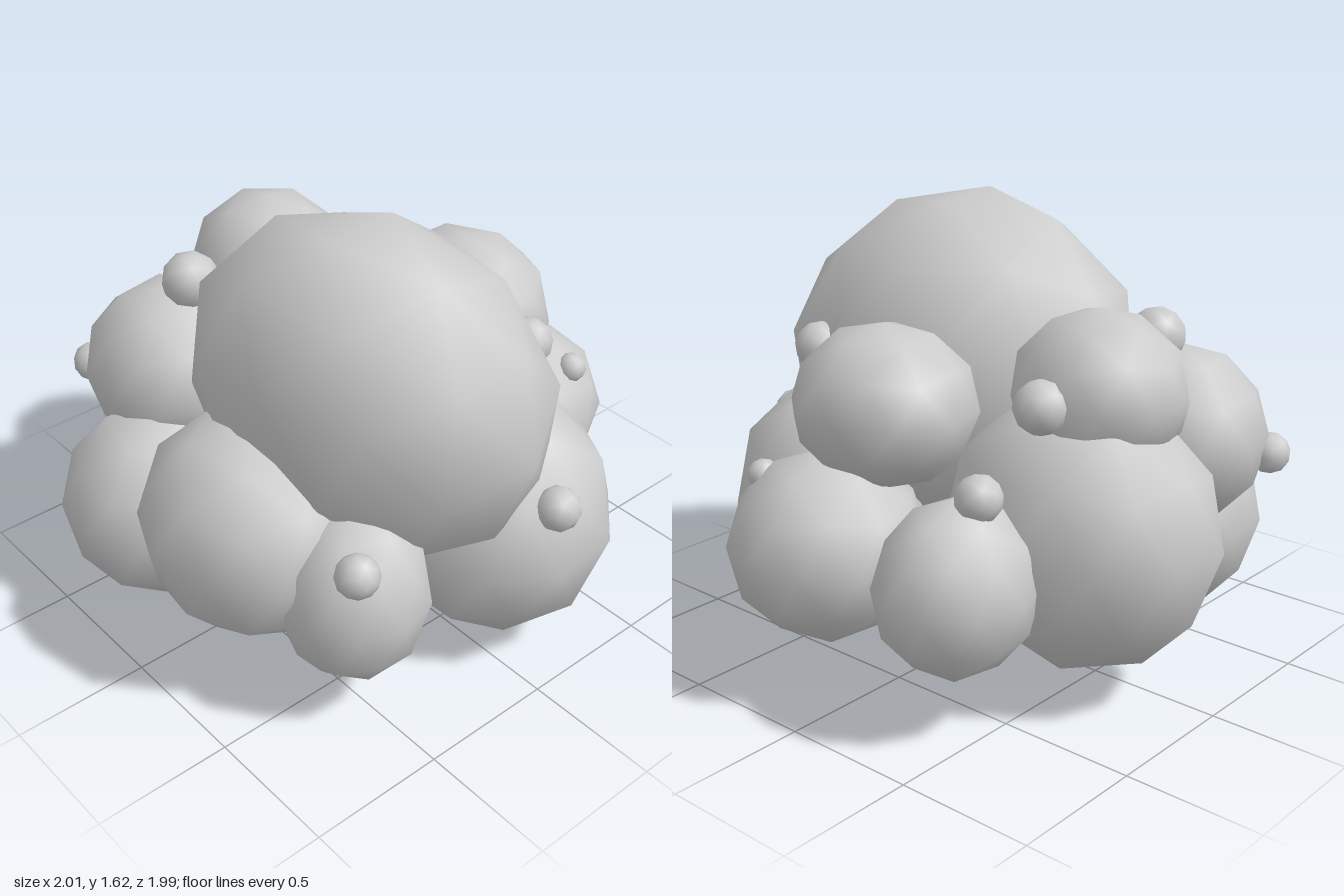
import * as THREE from 'three';

const material = new THREE.MeshStandardMaterial({ color: 0xcccccc });

// Leaf clumps: name, centre, radii, yaw of the facets, lean of the whole clump
const clumps = [
  ['crownClump', [-0.155, 1.0, 0.27], [0.54, 0.65, 0.7], 0.3, [0, 0.15, 0.3]],
  ['frontClump', [0.17, 0.485, 0.565], [0.43, 0.465, 0.45], 0.1],
  ['leftClump', [0.65, 0.525, 0.18], [0.355, 0.34, 0.35], 0.5],
  ['upperLeftClump', [0.45, 1.0, 0.09], [0.315, 0.29, 0.345], 0.2],
  ['backLeftClump', [0.61, 0.51, -0.38], [0.3, 0.31, 0.27], 0.4],
  ['backClump', [0.09, 0.585, -0.49], [0.43, 0.5, 0.52], 0.0],
  ['upperBackClump', [0.03, 1.07, -0.51], [0.295, 0.29, 0.32], 0.6],
  ['backRightClump', [-0.43, 0.81, -0.52], [0.32, 0.335, 0.34], 0.2],
  ['lowerRightClump', [-0.62, 0.4, -0.35], [0.385, 0.38, 0.37], 0.1],
  ['rightClump', [-0.62, 0.61, 0.2], [0.39, 0.41, 0.42], 0.5],
  ['frontRightClump', [-0.505, 0.485, 0.59], [0.27, 0.335, 0.27], 0.3],
];

// Berries: centre and radius
const berries = [
  [-0.62, 0.71, 0.745, 0.077], [0.105, 0.72, 0.93, 0.08],
  [0.74, 0.75, 0.4, 0.057], [0.325, 1.1, 0.54, 0.09],
  [0.58, 0.83, -0.45, 0.083], [0.32, 1.08, -0.49, 0.095],
  [-0.37, 1.17, -0.46, 0.107], [-0.6, 0.75, -0.81, 0.077],
  [-0.33, 1.12, 0.78, 0.06],
];

// Stems: foot and top
const stems = [
  [[-0.43, 0.005, 0.1], [-0.43, 0.45, 0.09]],
  [[0.23, 0.03, -0.165], [0.24, 0.5, -0.12]],
];

function add(group, name, geometry) {
  const mesh = new THREE.Mesh(geometry, material);
  mesh.name = name;
  group.add(mesh);
  return mesh;
}

// Smooth low-poly ball with a corner at the top
function lump(radii, yaw) {
  return new THREE.IcosahedronGeometry(1, 1)
    .rotateX(-Math.atan((1 + Math.sqrt(5)) / 2))
    .rotateY(yaw)
    .scale(...radii);
}

export function createModel() {
  const bush = new THREE.Group();
  bush.name = 'berryBush';

  for (const [name, centre, radii, yaw, lean = [0, 0, 0]] of clumps) {
    const clump = add(bush, name, lump(radii, yaw));
    clump.position.set(...centre);
    clump.rotation.set(...lean);
  }

  // Small berries, each turned a little differently
  berries.forEach(([x, y, z, r], i) => {
    const berry = add(bush, 'berry', lump([r, r, r], i * 0.5));
    berry.position.set(x, y, z);
    berry.rotation.set(i * 0.7, 0, i * 0.4);
  });

  // Short stems with a bevelled foot
  for (const [foot, top] of stems) {
    const a = new THREE.Vector3(...foot);
    const axis = new THREE.Vector3(...top).sub(a);
    const h = axis.length();
    const profile = [[0, 0], [0.045, 0.01], [0.07, 0.04], [0.07, h], [0, h]]
      .map(([r, y]) => new THREE.Vector2(r, y));
    const stem = add(bush, 'stem', new THREE.LatheGeometry(profile, 8));
    stem.position.copy(a);
    stem.quaternion.setFromUnitVectors(new THREE.Vector3(0, 1, 0), axis.normalize());
  }
  return bush;
}
